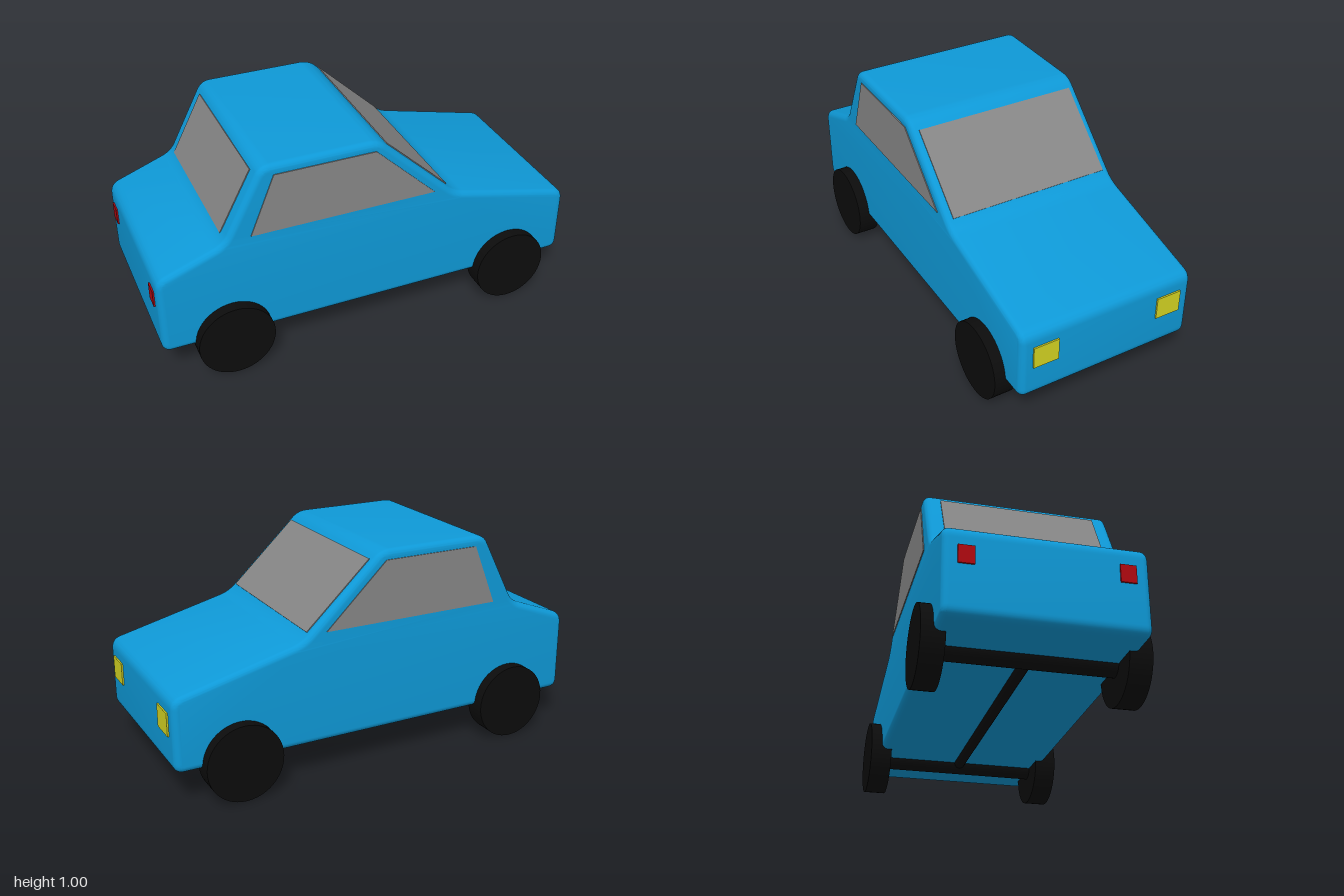
import * as THREE from 'three';
import { toCreasedNormals } from 'three/addons/utils/BufferGeometryUtils.js';

const material = (name, color) => {
  const m = new THREE.MeshStandardMaterial({ color });
  m.name = name;
  return m;
};

// Closed shape with every corner rounded by a quadratic curve
function roundedShape(points, cut) {
  const pts = points.map(([x, y]) => new THREE.Vector2(x, y));
  const toward = (a, b) => a.clone().add(b.clone().sub(a).setLength(cut));
  const shape = new THREE.Shape();
  pts.forEach((p, i) => {
    const start = toward(p, pts[(i + pts.length - 1) % pts.length]);
    const end = toward(p, pts[(i + 1) % pts.length]);
    if (i === 0) shape.moveTo(start.x, start.y);
    else shape.lineTo(start.x, start.y);
    shape.quadraticCurveTo(p.x, p.y, end.x, end.y);
  });
  shape.closePath();
  return shape;
}

export function createModel() {
  const car = new THREE.Group();
  car.name = 'car';
  const paint = material('bluePaint', 0x0e99d7);
  const glass = material('greyGlass', 0x868686);
  const rubber = material('blackRubber', 0x0c0c0c);
  const yellow = material('yellowLamp', 0xd2d222);
  const red = material('redLamp', 0xb00810);

  const add = (name, geometry, mat, x = 0, y = 0, z = 0) => {
    const mesh = new THREE.Mesh(geometry, mat);
    mesh.name = name;
    mesh.position.set(x, y, z);
    car.add(mesh);
    return mesh;
  };

  // Body: side profile extruded across the width with soft edges
  const half = 0.421, bevel = 0.03;
  const profile = [
    [-0.99, 0.17], [0.99, 0.17], [0.99, 0.5], [0.4, 0.645],
    [0.02, 1], [-0.515, 1], [-0.69, 0.662], [-0.99, 0.55],
  ];
  const body = new THREE.ExtrudeGeometry(roundedShape(profile, 0.045), {
    depth: 2 * (half - bevel), bevelThickness: bevel, bevelSize: bevel,
    bevelOffset: -bevel, bevelSegments: 8, curveSegments: 8,
  });
  body.translate(0, 0, -(half - bevel));
  add('body', toCreasedNormals(body, 0.3), paint);

  // Side windows
  const sideShape = new THREE.Shape([
    [-0.57, 0.68], [0.29, 0.68], [0.0, 0.957], [-0.46, 0.957],
  ].map(([x, y]) => new THREE.Vector2(x, y)));
  const sideGlass = new THREE.ExtrudeGeometry(sideShape, { depth: 0.008, bevelEnabled: false });
  sideGlass.translate(0, 0, -0.004);
  for (const side of [1, -1]) add('sideWindow', sideGlass, glass, 0, 0, side * half);

  // Sloped windows lie along a line in the side profile
  const slopedWindow = (name, [x0, y0], [x1, y1], width) => {
    const plate = new THREE.BoxGeometry(Math.hypot(x1 - x0, y1 - y0), 0.008, width);
    const mesh = add(name, plate, glass, (x0 + x1) / 2, (y0 + y1) / 2, 0);
    mesh.rotation.z = Math.atan2(y1 - y0, x1 - x0);
  };
  slopedWindow('windshield', [0.063, 0.96], [0.365, 0.678], 0.77);
  slopedWindow('rearWindow', [-0.681, 0.68], [-0.536, 0.96], 0.7);

  // Lamps
  for (const side of [1, -1]) {
    add('headlight', new THREE.BoxGeometry(0.009, 0.105, 0.12), yellow, 0.9925, 0.378, side * 0.305);
    add('tailLight', new THREE.BoxGeometry(0.009, 0.08, 0.068), red, -0.9925, 0.432, side * 0.328);
  }

  // Wheels and axles
  const wheel = new THREE.CylinderGeometry(0.175, 0.175, 0.1, 48).rotateX(Math.PI / 2);
  const axle = new THREE.CylinderGeometry(0.05, 0.05, 0.8, 24).rotateX(Math.PI / 2);
  for (const x of [-0.67, 0.697]) {
    add('axle', axle, rubber, x, 0.178, 0);
    for (const side of [1, -1]) add('wheel', wheel, rubber, x, 0.178, side * 0.422);
  }

  // Drive shaft under the floor
  const shaft = new THREE.CylinderGeometry(0.027, 0.027, 1.367, 20).rotateZ(Math.PI / 2);
  add('driveShaft', shaft, rubber, 0.0135, 0.172, 0);

  // Slight turn of the whole car
  car.rotation.y = -0.007;
  car.position.set(0, 0, -0.003);
  const model = new THREE.Group();
  model.name = 'model';
  model.add(car);
  return model;
}
